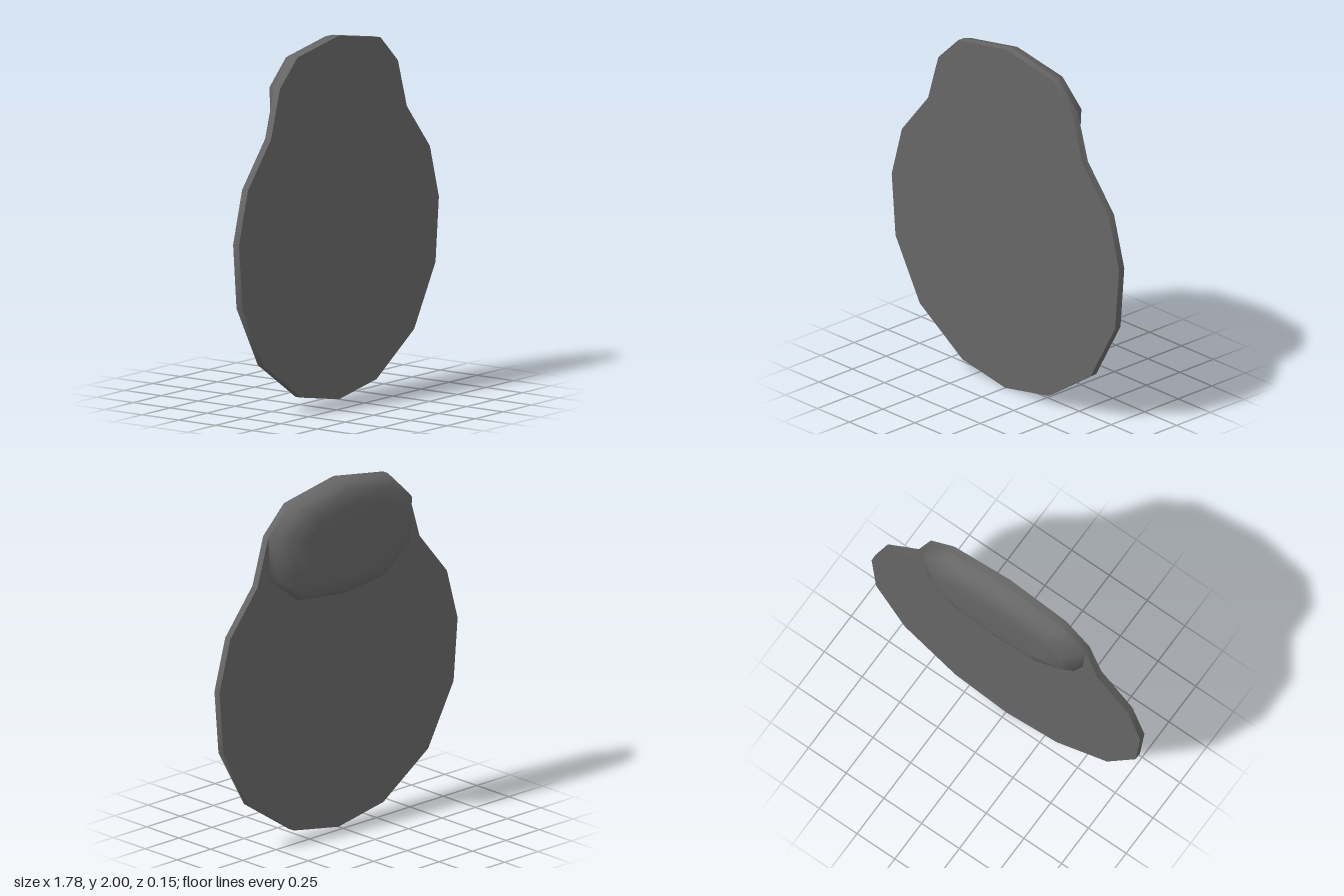
import * as THREE from 'three';
import { toCreasedNormals } from 'three/addons/utils/BufferGeometryUtils.js';

// Mirrors a right-hand half outline (top to bottom) into a closed clockwise loop
const mirrorLoop = (half) => [
  ...half,
  ...half.slice(1, -1).reverse().map(([x, y]) => [-x, y]),
];

// Smooth dome: an outline repeated at shrinking scales towards -z, closed by a fan
function domeGeometry(outline, centreY, rings) {
  const n = outline.length;
  const positions = [];
  const index = [];
  for (const [z, sx, sy] of rings) {
    for (const [x, y] of outline) {
      positions.push(x * sx, centreY + (y - centreY) * sy, z);
    }
  }
  const last = rings.length - 1;
  positions.push(0, centreY, rings[last][0]);
  for (let k = 0; k < last; k++) {
    for (let j = 0; j < n; j++) {
      const a = k * n + j;
      const b = k * n + ((j + 1) % n);
      index.push(a, b, b + n, a, b + n, a + n);
    }
  }
  for (let j = 0; j < n; j++) {
    index.push(rings.length * n, last * n + j, last * n + ((j + 1) % n));
  }
  const geometry = new THREE.BufferGeometry();
  geometry.setAttribute('position', new THREE.Float32BufferAttribute(positions, 3));
  geometry.setIndex(index);
  geometry.computeVertexNormals();
  return geometry;
}

export function createModel() {
  const group = new THREE.Group();
  const darkGrey = new THREE.MeshStandardMaterial({ color: 0x666666 });
  darkGrey.name = 'darkGrey';

  // Flat plate with a rounded body and a narrower head
  const plateOutline = mirrorLoop([
    [0, 2], [0.37, 1.935], [0.525, 1.785], [0.605, 1.52], [0.81, 1.27],
    [0.89, 0.98], [0.86, 0.625], [0.67, 0.285], [0.335, 0.06], [0, 0],
  ]);
  const shape = new THREE.Shape(plateOutline.map(([x, y]) => new THREE.Vector2(x, y)));
  const plateGeometry = new THREE.ExtrudeGeometry(shape, { depth: 0.04, bevelEnabled: false });
  plateGeometry.translate(0, 0, 0.035);
  const plate = new THREE.Mesh(toCreasedNormals(plateGeometry, 0.9), darkGrey);
  plate.name = 'plate';
  group.add(plate);

  // Raised pad on the back of the head
  const padOutline = mirrorLoop([
    [0, 2], [0.37, 1.935], [0.525, 1.785], [0.51, 1.53], [0.31, 1.375], [0, 1.34],
  ]);
  const pad = new THREE.Mesh(
    domeGeometry(padOutline, 1.67, [
      [0.035, 1, 1], [-0.015, 0.955, 0.96], [-0.055, 0.83, 0.85], [-0.074, 0.64, 0.61],
    ]),
    darkGrey
  );
  pad.name = 'backPad';
  group.add(pad);

  return group;
}
